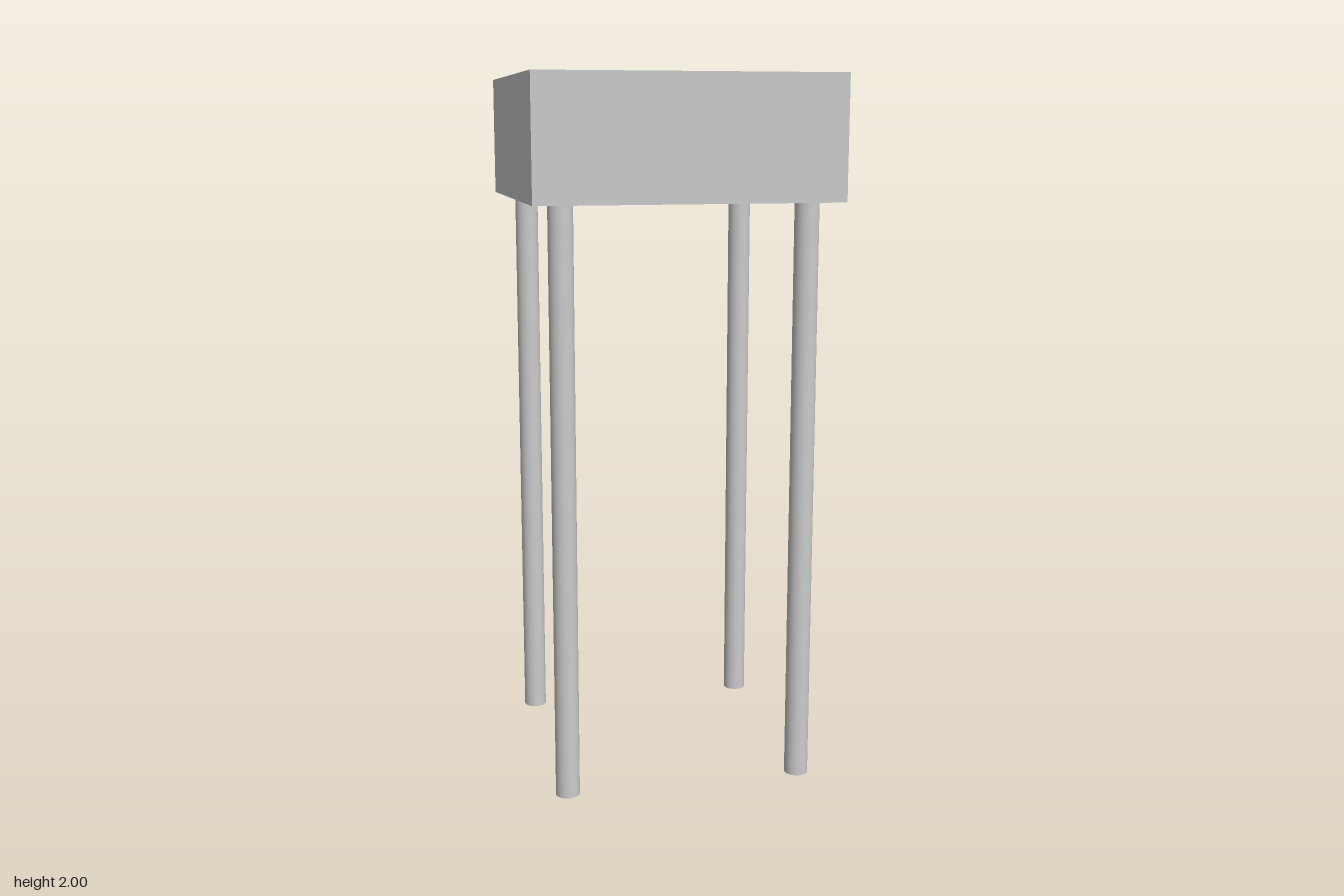
import * as THREE from 'three';

const HALF = 0.424;   // outer half width of the tray
const INNER = 0.339;  // half width of the recess, also the leg spacing
const TOP = 2, BOTTOM = 1.661, FLOOR = 1.746;
const LEG_RADIUS = 0.034;

function square(ShapeType, h) {
  return new ShapeType([[-h, -h], [h, -h], [h, h], [-h, h]].map(([x, y]) => new THREE.Vector2(x, y)));
}

export function createModel() {
  const model = new THREE.Group();
  model.name = 'raisedPlanter';
  const material = new THREE.MeshStandardMaterial({ color: 0xcccccc });

  const add = (name, geometry, parent = model) => {
    const mesh = new THREE.Mesh(geometry, material);
    mesh.name = name;
    parent.add(mesh);
    return mesh;
  };

  // Open tray: a square wall ring above a solid floor slab
  const tray = new THREE.Group();
  tray.name = 'tray';
  model.add(tray);

  const ring = square(THREE.Shape, HALF);
  ring.holes.push(square(THREE.Path, INNER));
  const walls = new THREE.ExtrudeGeometry(ring, { depth: TOP - FLOOR, bevelEnabled: false });
  walls.rotateX(-Math.PI / 2);
  add('trayWalls', walls, tray).position.y = FLOOR;

  const slab = new THREE.BoxGeometry(HALF * 2, FLOOR - BOTTOM, HALF * 2);
  add('trayFloor', slab, tray).position.y = (FLOOR + BOTTOM) / 2;

  // Four round legs under the corners
  const leg = new THREE.CylinderGeometry(LEG_RADIUS, LEG_RADIUS, BOTTOM, 32);
  for (const [zName, z] of [['front', 1], ['back', -1]]) {
    for (const [xName, x] of [['Left', 1], ['Right', -1]]) {
      add(`${zName}${xName}Leg`, leg).position.set(x * INNER, BOTTOM / 2, z * INNER);
    }
  }

  return model;
}
